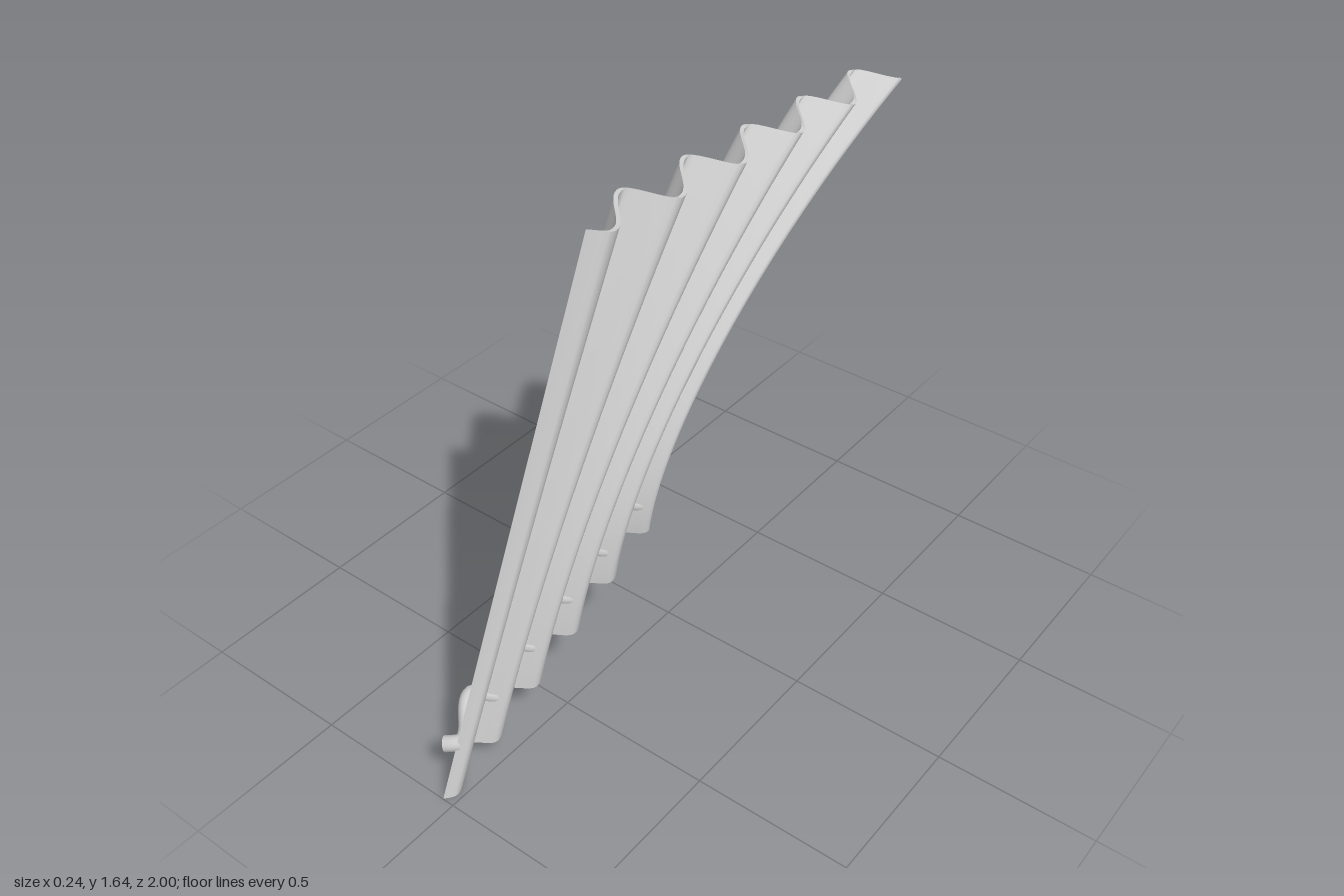
import * as THREE from 'three';
import { ParametricGeometry } from 'three/addons/geometries/ParametricGeometry.js';

const lerp = THREE.MathUtils.lerp;
const HALF_THICKNESS = 0.006;

// Back edge of the sheet, swept in a curve (z, y)
const backEdge = new THREE.CubicBezierCurve(
  new THREE.Vector2(0.085, 0.41), new THREE.Vector2(0.07, 0.8),
  new THREE.Vector2(-0.38, 1.25), new THREE.Vector2(-1, 1.54));

// Lopsided wave with five folds: long fall, short rise
function wave(u) {
  const p = lerp(-0.16, 5, u);
  const f = p - Math.floor(p);
  return f < 0.64 ? Math.cos(Math.PI * f / 0.64)
    : Math.cos(Math.PI * (1 + (f - 0.64) / 0.36));
}

// Mid surface: u runs from the straight front edge to the curved back edge, t upward
function sheetPoint(u, t) {
  const b = backEdge.getPoint(Math.min(1, Math.max(0, t)));
  const w = wave(u);
  return new THREE.Vector3(
    lerp(-0.045, 0.06, t) + w * lerp(0.03, 0.057, t),
    lerp(1.632 * t, b.y, u) - w * 0.011 * Math.min(1, u * 8),
    lerp(lerp(0.995, 0.42, t), b.x, u));
}

// Point offset to either face of the sheet (side from -1 to 1)
function facePoint(u, t, side, target) {
  const e = 0.002;
  const du = sheetPoint(u + e, t).sub(sheetPoint(u - e, t));
  const t0 = Math.max(0, t - e), t1 = Math.min(1, t + e);
  const dt = sheetPoint(u, t1).sub(sheetPoint(u, t0));
  target.copy(sheetPoint(u, t)).addScaledVector(du.cross(dt).normalize(), side * HALF_THICKNESS);
}

export function createModel() {
  const group = new THREE.Group();
  const grey = new THREE.MeshStandardMaterial({ color: 0xcccccc });
  grey.name = 'light grey';

  const add = (name, geometry, parent = group) => {
    const mesh = new THREE.Mesh(geometry, grey);
    mesh.name = name;
    parent.add(mesh);
    return mesh;
  };

  // Pleated sheet: two faces and four thin rims
  const sheet = new THREE.Group();
  sheet.name = 'pleatedSheet';
  group.add(sheet);
  const surface = (name, fn, nu, nv) => add(name, new ParametricGeometry(fn, nu, nv), sheet);
  surface('outerFace', (u, v, p) => facePoint(u, v, 1, p), 130, 32);
  surface('innerFace', (u, v, p) => facePoint(1 - u, v, -1, p), 130, 32);
  surface('bottomRim', (u, v, p) => facePoint(u, 0, 2 * v - 1, p), 130, 1);
  surface('topRim', (u, v, p) => facePoint(1 - u, 1, 2 * v - 1, p), 130, 1);
  surface('frontRim', (u, v, p) => facePoint(0, v, 2 * u - 1, p), 1, 32);
  surface('backRim', (u, v, p) => facePoint(1, v, 1 - 2 * u, p), 1, 32);

  // Round bar with closed ends
  const bar = (name, points, radius, segments) => {
    const holder = new THREE.Group();
    holder.name = name;
    group.add(holder);
    const curve = new THREE.CatmullRomCurve3(points);
    add('bar', new THREE.TubeGeometry(curve, segments, radius, 14), holder);
    for (const end of [0, 1]) {
      const cap = add('barEnd', new THREE.CircleGeometry(radius, 14), holder);
      const out = curve.getTangent(end).multiplyScalar(end ? 1 : -1);
      cap.position.copy(curve.getPoint(end));
      cap.quaternion.setFromUnitVectors(new THREE.Vector3(0, 0, 1), out);
    }
  };

  // Wavy tie bar following the folds on the inner side
  const path = [];
  for (let i = 0; i <= 60; i++) {
    const u = lerp(-0.008, 1.012, i / 60);
    const p = sheetPoint(u, lerp(0.1, 0.08, u));
    p.x -= 0.027;
    path.push(p);
  }
  bar('tieBar', path, 0.024, 150);

  // Short bent tail hanging from the tie bar
  bar('hangingTail', [[0.16, 0.46], [0.162, 0.4], [0.168, 0.34], [0.183, 0.29], [0.203, 0.245]]
    .map(([z, y]) => new THREE.Vector3(-0.08, y, z)), 0.018, 20);

  return group;
}
